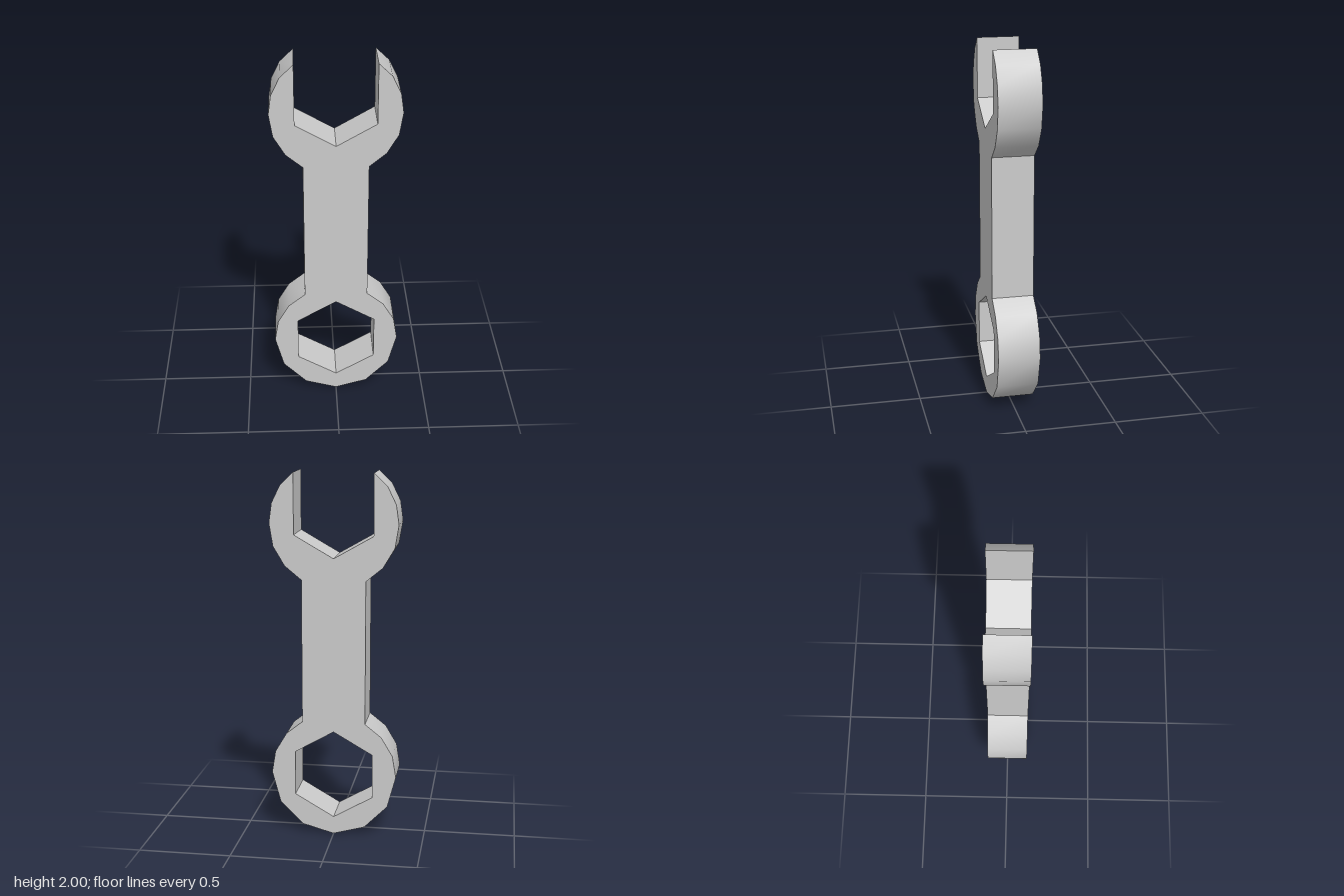
import * as THREE from 'three';
import { toCreasedNormals } from 'three/addons/utils/BufferGeometryUtils.js';

const DEPTH = 0.23;

export function createModel() {
  const group = new THREE.Group();
  group.name = 'wrench';

  // Right half of the outline, from the bottom of the ring end up to the jaw notch
  const half = [
    [0, 0], [0.172, 0.048], [0.299, 0.175], [0.345, 0.347], [0.325, 0.468], [0.263, 0.573], [0.173, 0.645],
    [0.173, 1.432], [0.263, 1.506], [0.325, 1.61], [0.345, 1.733], [0.33, 1.838], [0.284, 1.932], [0.213, 2],
    [0.213, 1.672], [0, 1.55],
  ];
  // Mirror to the other side, skipping the two points on the centre line
  const mirrored = half.slice(1, -1).reverse().map(([x, y]) => [-x, y]);
  const outline = new THREE.Shape([...half, ...mirrored].map(([x, y]) => new THREE.Vector2(x, y)));

  // Hexagonal hole in the ring end
  const hex = [];
  for (let i = 0; i < 6; i++) {
    const a = Math.PI / 2 - (i * Math.PI) / 3;
    hex.push(new THREE.Vector2(Math.cos(a) * 0.247, 0.347 + Math.sin(a) * 0.247));
  }
  outline.holes.push(new THREE.Path(hex));

  // Flat body, smooth around the rounded ends and sharp elsewhere
  const geometry = new THREE.ExtrudeGeometry(outline, { depth: DEPTH, bevelEnabled: false });
  geometry.translate(0, 0, -DEPTH / 2);
  const body = new THREE.Mesh(
    toCreasedNormals(geometry, 0.65),
    new THREE.MeshStandardMaterial({ color: 0xcccccc })
  );
  body.name = 'wrenchBody';
  group.add(body);
  return group;
}
